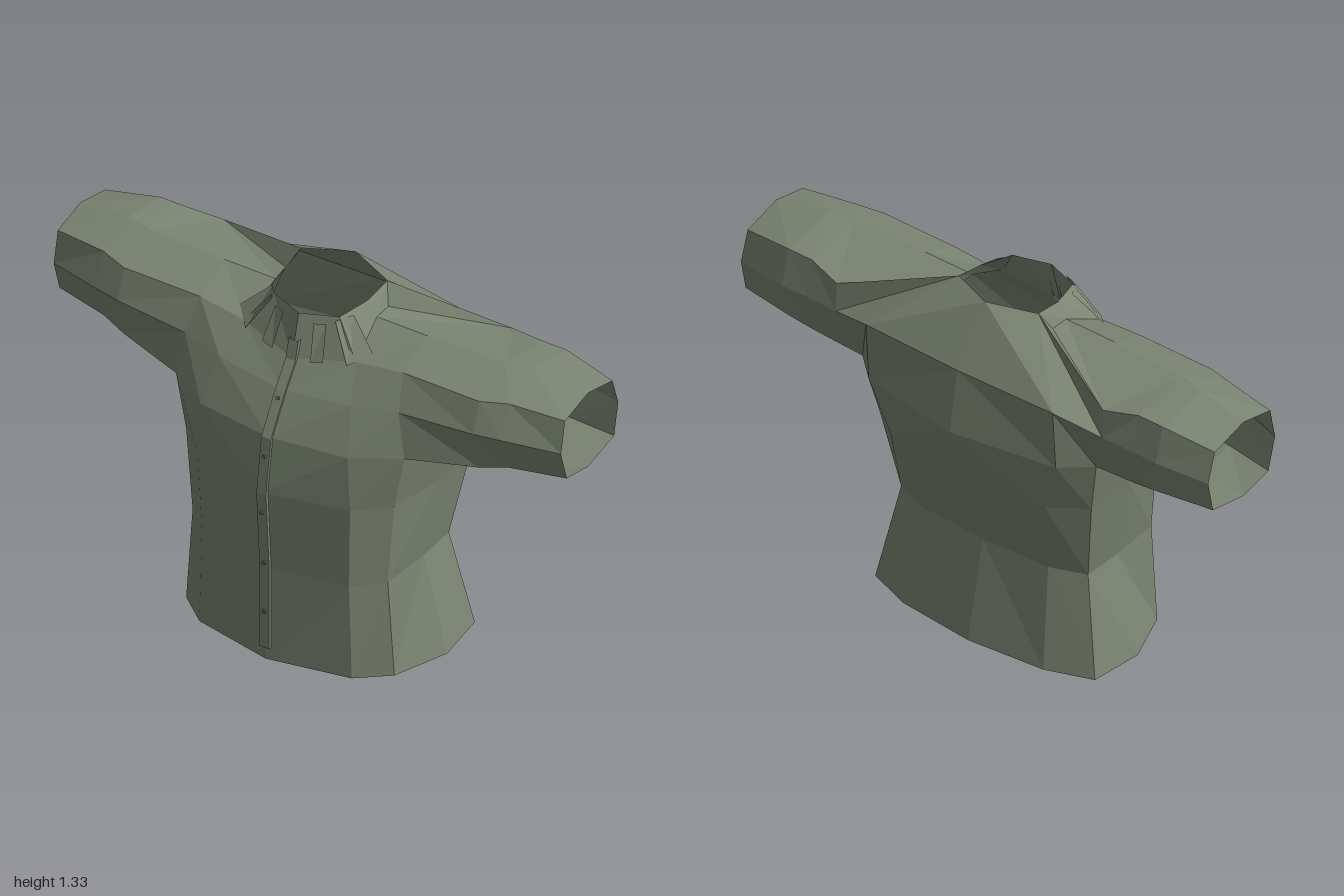
import * as THREE from 'three';

const fabric = new THREE.MeshStandardMaterial({ color: 0x7c8673, flatShading: true, side: THREE.DoubleSide });
fabric.name = 'sage fabric';
const buttonMat = new THREE.MeshStandardMaterial({ color: 0x646d5d });
buttonMat.name = 'button green';

// Flat-faced surface through rows of points; mirror flips it to -x
function surface(patches, sides = [1, -1]) {
  const pos = [];
  for (const rows of patches) for (const s of sides) {
    const tri = (...p) => (s > 0 ? p : p.reverse()).forEach(([x, y, z]) => pos.push(s * x, y, z));
    for (let i = 0; i < rows.length - 1; i++) for (let j = 0; j < rows[i].length - 1; j++) {
      const a = rows[i][j], b = rows[i][j + 1], c = rows[i + 1][j + 1], d = rows[i + 1][j];
      tri(a, b, c);
      if (c !== d) tri(a, c, d);
    }
  }
  const g = new THREE.BufferGeometry();
  g.setAttribute('position', new THREE.Float32BufferAttribute(pos, 3));
  g.computeVertexNormals();
  return g;
}

export function createModel() {
  const group = new THREE.Group();
  group.name = 'shirt';
  const add = (name, geometry, material = fabric) => {
    const m = new THREE.Mesh(geometry, material);
    m.name = name;
    group.add(m);
    return m;
  };

  // Half rings [x, z] from front centre round the side to back centre
  const rings = [
    [0, [[0, .35], [.3, .29], [.41, .2], [.49, 0], [.47, -.2], [.3, -.262], [0, -.29]]],
    [.37, [[0, .35], [.29, .29], [.385, .2], [.4, 0], [.4, -.15], [.27, -.2], [0, -.212]]],
    [.69, [[0, .37], [.3, .3], [.41, .2], [.455, 0], [.455, -.2], [.33, -.29], [0, -.33]]],
    [.9, [[0, .34], [.29, .3], [.45, .2], [.5, -.02], [.5, -.23], [.4, -.32], [0, -.385]]],
  ].map(([y, r]) => r.map(([x, z]) => [x, y, z]));
  add('torso', surface([rings]));

  // Sleeve root, from under the front, over the top, to under the back
  const chest = rings[3];
  const root = [chest[2], [.42, 1.07, .19], [.4, 1.19, .13], [.4, 1.25, -.02],
    [.57, 1.19, -.28], [.57, 1.08, -.285], chest[4], chest[3], chest[2]];

  // Neck points
  const frontNeck = [0, 1.13, .19], cornerNeck = [.22, 1.17, .14];
  const sideNeck = [.2, 1.25, -.02], backNeck = [.2, 1.25, -.09];
  const rimBack = [.17, 1.32, -.13], rimCentre = [0, 1.33, -.2];

  add('chest', surface([[
    [chest[0], chest[1], root[0]],
    [[0, 1.04, .255], [.26, 1.06, .23], root[1]],
    [frontNeck, cornerNeck, root[2]],
  ]]));
  add('shoulders', surface([
    [[cornerNeck, root[2]], [sideNeck, root[3]], [backNeck, root[4]]],
    [[backNeck, root[4]], [rimBack, rimBack]],
  ]));
  add('upperBack', surface([[
    [chest[4], chest[5], chest[6]],
    [root[5], [.4, 1.13, -.335], [0, 1.13, -.345]],
    [root[4], rimBack, rimCentre],
  ]]));
  add('neckBand', surface([[
    [frontNeck, cornerNeck, sideNeck, backNeck],
    [[0, 1.29, .148], [.13, 1.295, .1], [.165, 1.305, -.02], rimBack],
  ]]));

  // Sleeve sections [y, z], cuff first
  const sections = [
    [1, [[.95, .06], [1.07, .095], [1.19, .07], [1.22, -.07], [1.18, -.22], [1.07, -.255], [.95, -.23], [.92, -.07]]],
    [.8, [[.94, .1], [1.08, .15], [1.2, .1], [1.25, -.05], [1.21, -.25], [1.08, -.285], [.94, -.25], [.915, -.07]]],
    [.7, [[.92, .13], [1.08, .17], [1.19, .13], [1.25, -.03], [1.21, -.25], [1.08, -.283], [.92, -.24], [.908, -.05]]],
  ].map(([x, s]) => [...s, s[0]].map(([y, z]) => [x, y, z]));
  const sleeve = [...sections, root];
  add('leftSleeve', surface([sleeve], [1]));
  add('rightSleeve', surface([sleeve], [-1]));

  // Button strip following the front centre line [y, z]
  const line = [[.05, .35], [.37, .35], [.69, .37], [.9, .34], [1.04, .255], [1.13, .19], [1.2, .172]];
  add('placket', surface([line.map(([y, z]) => [[0, y, z + .008], [.019, y, z + .008]])]));
  add('placketEdges', surface([line.map(([y, z]) => [[.019, y, z + .008], [.019, y, z - .008]])]));

  // Buttons
  const buttonGeo = new THREE.CylinderGeometry(.007, .007, .008, 8).rotateX(Math.PI / 2);
  for (const [y, z, tilt] of [[.2, .36, 0], [.4, .362, 0], [.61, .375, 0], [.83, .36, -.15], [1.02, .278, -.55]]) {
    const b = add('button', buttonGeo, buttonMat);
    b.position.set(0, y, z);
    b.rotation.x = tilt;
  }

  // Pleat tabs hanging from the neckline
  add('pleatTabs', surface([
    [[[.075, 1.145, .195], [.12, 1.155, .187]], [[.06, 1.27, .15], [.1, 1.275, .135]]],
    [[[.2, 1.16, .165], [.262, 1.195, .1]], [[.125, 1.285, .118], [.16, 1.29, .06]]],
  ]));
  return group;
}
